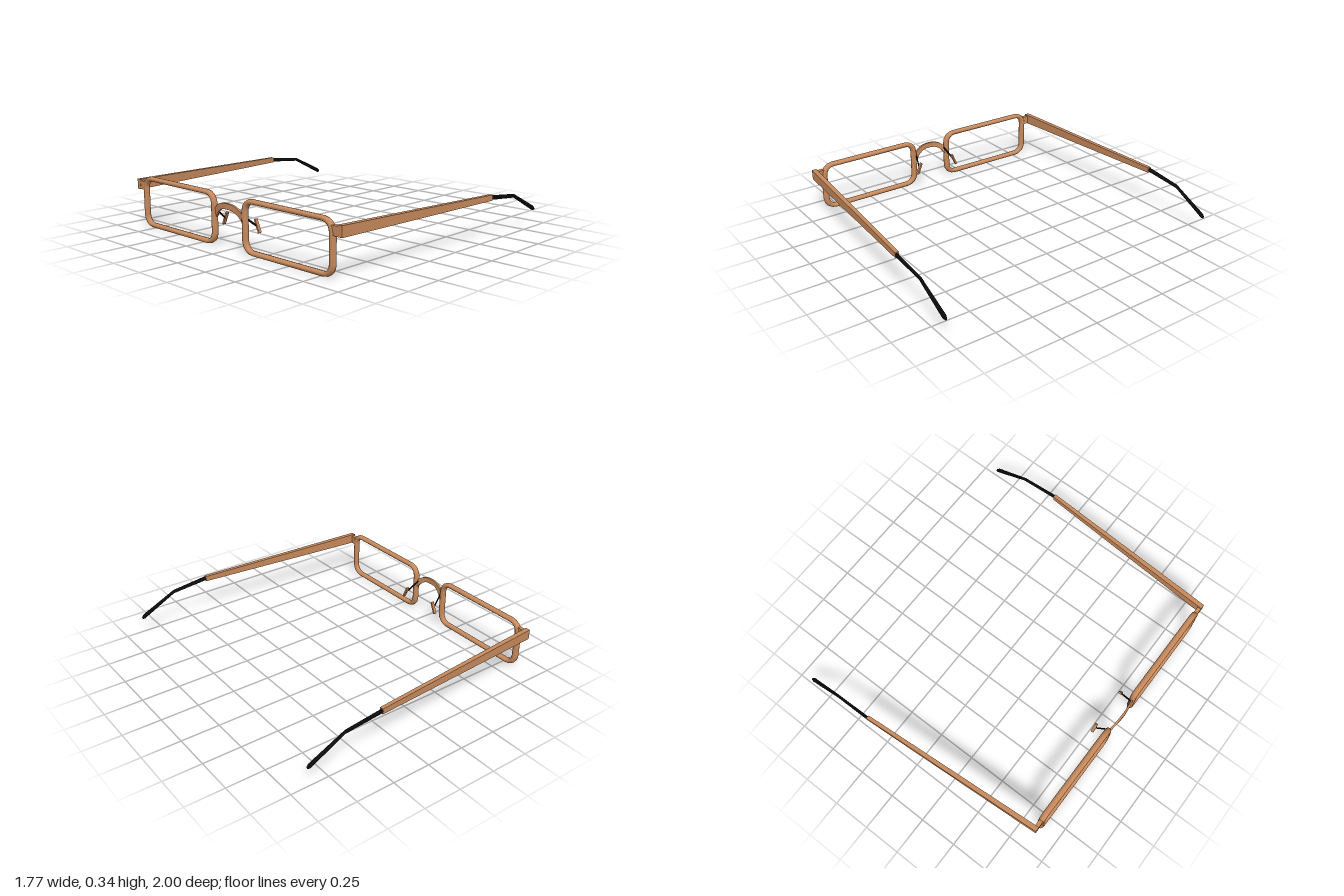
import * as THREE from 'three';

const copper = 0xc88a5c, black = 0x111111;

// Skins a list of equal-sized rings; closed joins the last ring to the first
function loft(rings, { closed = false, smooth = false, color = copper, name }) {
  const n = rings[0].length, count = rings.length;
  const pts = rings.flat(), tris = [];
  for (let i = 0; i < (closed ? count : count - 1); i++) {
    for (let j = 0; j < n; j++) {
      const a = i * n + j, b = i * n + (j + 1) % n;
      const c = ((i + 1) % count) * n + j, d = ((i + 1) % count) * n + (j + 1) % n;
      tris.push([a, b, c], [b, d, c]);
    }
  }
  if (!closed) {
    const e = (count - 1) * n;
    for (let j = 1; j < n - 1; j++) tris.push([0, j + 1, j], [e, e + j, e + j + 1]);
  }
  // Turn the faces outward whichever side the part is on
  const volume = tris.reduce((v, [a, b, c]) =>
    v + pts[a].dot(new THREE.Vector3().crossVectors(pts[b], pts[c])), 0);
  if (volume < 0) tris.forEach(t => t.reverse());
  const geo = new THREE.BufferGeometry().setFromPoints(pts);
  geo.setIndex(tris.flat());
  geo.computeVertexNormals();
  const mesh = new THREE.Mesh(geo, new THREE.MeshStandardMaterial({ color, flatShading: !smooth }));
  mesh.name = name;
  return mesh;
}

// Ring in a plane across x: n sides, half height hy, half depth hz
function ringX(x, y, z, hy, hz, n = 4) {
  const k = n === 4 ? Math.SQRT2 : 1;
  return Array.from({ length: n }, (_, j) => {
    const a = (j + 0.5) / n * Math.PI * 2;
    return new THREE.Vector3(x, y + Math.sin(a) * hy * k, z + Math.cos(a) * hz * k);
  });
}

// Rounded rectangular rim with an oval section, slimmer along top and bottom
function rim(s) {
  const rings = [], r = 0.065, steps = 4;
  for (let q = 0; q < 4; q++) {
    const sz = q === 0 || q === 3 ? 1 : -1, sy = q < 2 ? 1 : -1;
    for (let i = 0; i <= steps; i++) {
      const a = (q + i / steps) * Math.PI / 2, c = Math.cos(a), d = Math.sin(a);
      const z = 0.487 + sz * (0.348 - r) + r * c;
      const y = 0.172 + sy * (0.152 - r) + r * d;
      rings.push(Array.from({ length: 10 }, (_, j) => {
        const t = j / 10 * Math.PI * 2;
        return new THREE.Vector3(-0.865 + 0.02 * Math.sin(t),
          y + d * 0.016 * Math.cos(t), s * (z + c * 0.021 * Math.cos(t)));
      }));
    }
  }
  return loft(rings, { closed: true, smooth: true, name: 'rim' });
}

// Arched flat band that bows forward between the rims
function bridge() {
  const curve = new THREE.CatmullRomCurve3([[-0.132, 0.195], [-0.1, 0.235], [-0.055, 0.262], [0, 0.268],
    [0.055, 0.262], [0.1, 0.235], [0.132, 0.195]]
    .map(([z, y]) => new THREE.Vector3(-0.882 + 1.1 * z * z, y, z)));
  const rings = [];
  for (let i = 0; i <= 14; i++) {
    const p = curve.getPoint(i / 14), t = curve.getTangent(i / 14);
    const up = new THREE.Vector3(0, t.z, -t.y).normalize();
    rings.push([[1, 1], [1, -1], [-1, -1], [-1, 1]].map(([u, v]) =>
      p.clone().addScaledVector(up, u * 0.018).add(new THREE.Vector3(v * 0.007, 0, 0))));
  }
  return loft(rings, { name: 'bridge' });
}

// Thin dark arm carrying a tilted nose pad
function nosePad(s) {
  const g = new THREE.Group();
  g.name = 'nosePad';
  g.add(loft([ringX(-0.862, 0.225, s * 0.118, 0.008, 0.005, 6),
    ringX(-0.775, 0.152, s * 0.146, 0.008, 0.005, 6)], { color: black, name: 'nosePadArm' }));
  const pad = new THREE.Mesh(new THREE.BoxGeometry(0.02, 0.085, 0.012),
    new THREE.MeshStandardMaterial({ color: copper }));
  pad.name = 'pad';
  pad.position.set(-0.776, 0.156, s * 0.146);
  pad.rotation.x = -s * 0.42;
  g.add(pad);
  return g;
}

// End piece, tapering temple and bent dark ear tip
function arm(s) {
  const g = new THREE.Group();
  g.name = s > 0 ? 'armRight' : 'armLeft';
  const endPiece = new THREE.Mesh(new THREE.BoxGeometry(0.026, 0.055, 0.085),
    new THREE.MeshStandardMaterial({ color: copper }));
  endPiece.name = 'endPiece';
  endPiece.position.set(-0.866, 0.273, s * 0.867);
  g.add(endPiece);
  g.add(loft([ringX(-0.88, 0.277, s * 0.897, 0.033, 0.016),
    ringX(0.378, 0.271, s * 0.983, 0.018, 0.012)], { name: 'temple' }));
  g.add(loft([ringX(0.375, 0.271, s * 0.986, 0.015, 0.01, 8),
    ringX(0.63, 0.243, s * 0.986, 0.012, 0.009, 8),
    ringX(0.865, 0.126, s * 0.986, 0.016, 0.013, 8),
    ringX(0.88, 0.119, s * 0.986, 0.009, 0.008, 8)], { color: black, name: 'earTip' }));
  return g;
}

export function createModel() {
  const model = new THREE.Group();
  model.name = 'glasses';
  for (const s of [1, -1]) model.add(rim(s), nosePad(s), arm(s));
  model.add(bridge());
  return model;
}
